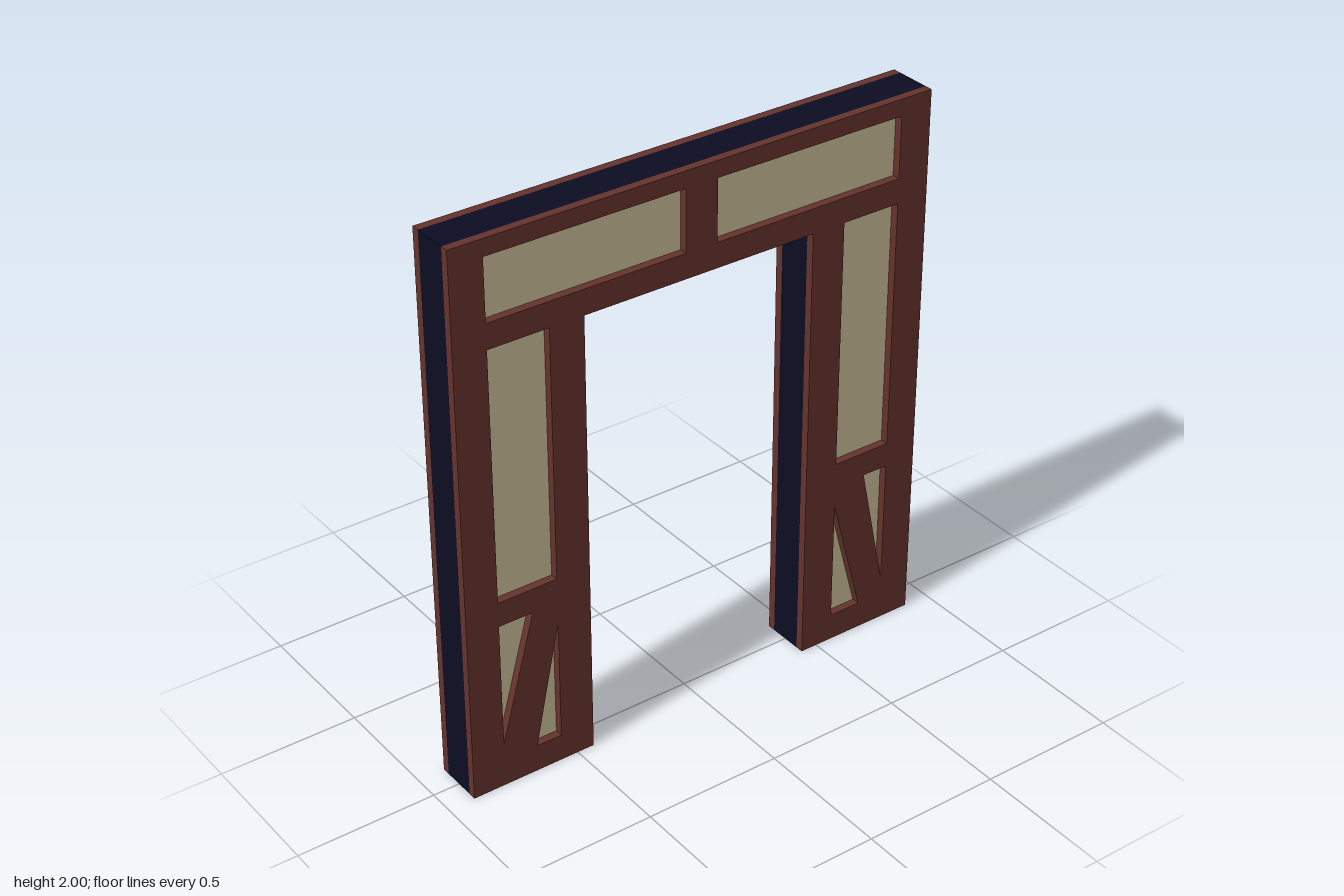
import * as THREE from 'three';

const CORE = 0.063; // half thickness of the wall core
const TRIM = 0.029; // thickness of the timber frame on each face

// Closed outline from [x, y] pairs
const pts = (list) => list.map(([x, y]) => new THREE.Vector2(x, y));
const rect = (x0, y0, x1, y1) => [[x0, y0], [x1, y0], [x1, y1], [x0, y1]];

// Doorway silhouette shared by core and frames
const OUTLINE = [
  [-0.903, 0], [-0.437, 0], [-0.437, 1.63], [0.437, 1.63],
  [0.437, 0], [0.903, 0], [0.903, 2], [-0.903, 2],
];

// Panel openings in the timber frame
const OPENINGS = [
  // upper panels
  rect(-0.783, 1.72, -0.06, 1.94),
  rect(0.06, 1.72, 0.783, 1.94),
  // tall side panels
  rect(-0.783, 0.72, -0.563, 1.63),
  rect(0.563, 0.72, 0.783, 1.63),
  // triangles either side of the diagonal braces
  [[-0.783, 0.165], [-0.657, 0.63], [-0.783, 0.63]],
  [[-0.656, 0.1], [-0.563, 0.1], [-0.563, 0.55]],
  [[0.563, 0.1], [0.684, 0.1], [0.563, 0.55]],
  [[0.783, 0.165], [0.783, 0.63], [0.686, 0.63]],
];

function extrude(holes, depth) {
  const shape = new THREE.Shape(pts(OUTLINE));
  shape.holes = holes.map((h) => new THREE.Path(pts(h)));
  return new THREE.ExtrudeGeometry(shape, { depth, bevelEnabled: false });
}

export function createModel() {
  const timber = new THREE.MeshStandardMaterial({ color: 0x66332d });
  timber.name = 'brown timber';
  const plaster = new THREE.MeshStandardMaterial({ color: 0xcbbe97 });
  plaster.name = 'cream plaster';
  const edge = new THREE.MeshStandardMaterial({ color: 0x0c0d22 });
  edge.name = 'dark navy edge';

  const group = new THREE.Group();
  group.name = 'timberDoorwayWall';

  // Wall core: plaster faces, dark rim
  const core = new THREE.Mesh(extrude([], CORE * 2), [plaster, edge]);
  core.name = 'wallCore';
  core.position.z = -CORE;
  group.add(core);

  // Timber frames on both faces
  const frameGeometry = extrude(OPENINGS, TRIM);
  for (const [name, z] of [['frontFrame', CORE], ['backFrame', -CORE - TRIM]]) {
    const frame = new THREE.Mesh(frameGeometry, timber);
    frame.name = name;
    frame.position.z = z;
    group.add(frame);
  }
  return group;
}
